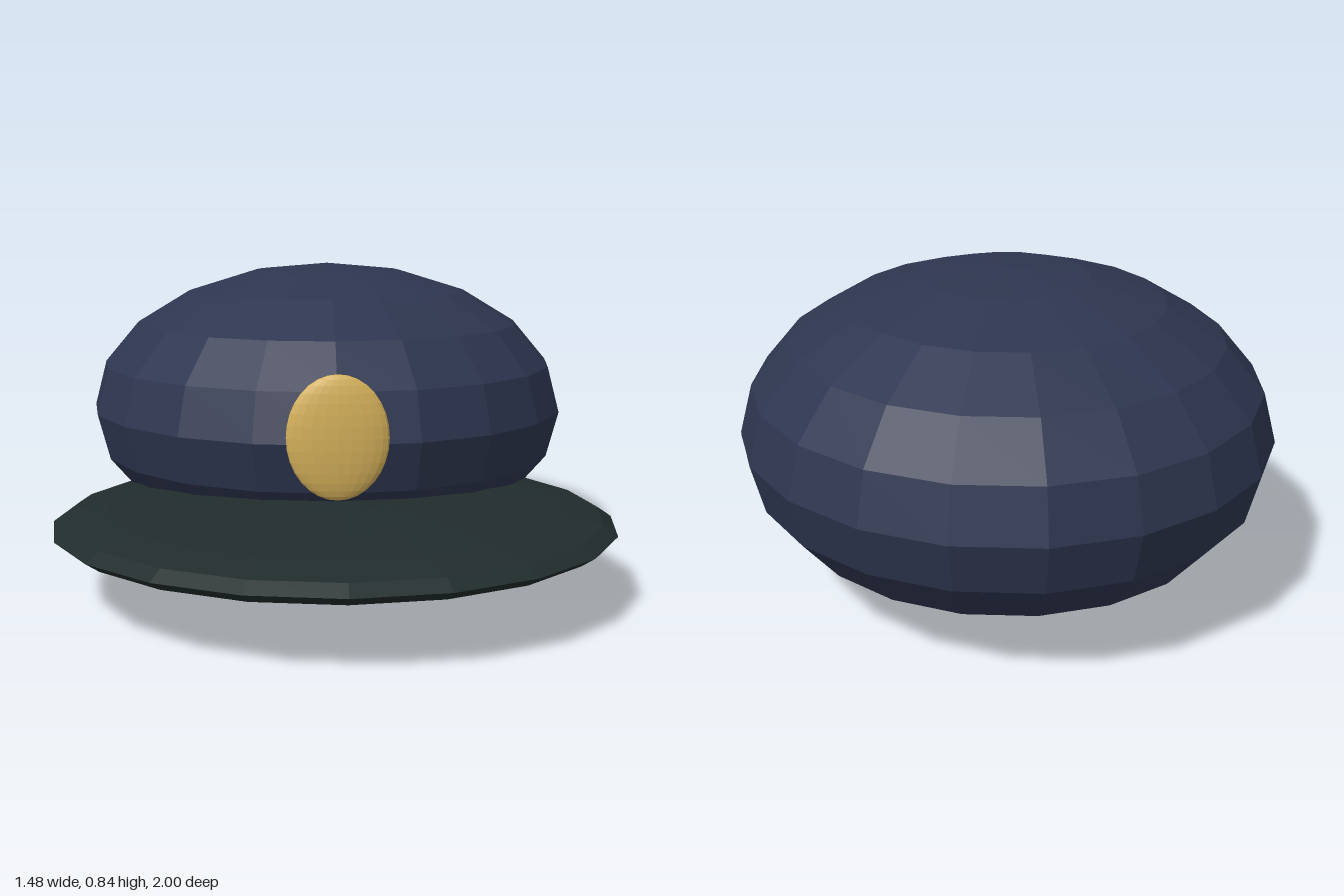
import * as THREE from 'three';

const makeMaterial = (name, color) => {
  const m = new THREE.MeshStandardMaterial({ color, flatShading: true });
  m.name = name;
  return m;
};

// Faceted ellipsoid with its poles along y
function ellipsoid(name, material, radii, position, around = 20, rings = 10) {
  const geometry = new THREE.SphereGeometry(1, around, rings);
  geometry.scale(...radii);
  const mesh = new THREE.Mesh(geometry, material);
  mesh.name = name;
  mesh.position.set(...position);
  return mesh;
}

export function createModel() {
  const navy = makeMaterial('navy cloth', 0x2e3650);
  const darkGreen = makeMaterial('dark green brim', 0x212c2c);
  const gold = makeMaterial('gold badge', 0xd4b05a);

  const cap = new THREE.Group();
  cap.name = 'cap';
  cap.add(
    // Puffy crown
    ellipsoid('crown', navy, [0.695, 0.42, 0.735], [0, 0.42, -0.265]),
    // Flat brim, its rear half buried in the crown
    ellipsoid('brim', darkGreen, [0.742, 0.08, 0.725], [0, 0.188, 0.275]),
    // Oval badge on the front of the crown
    ellipsoid('badge', gold, [0.13, 0.16, 0.03], [0, 0.44, 0.465], 24, 16),
  );
  return cap;
}
